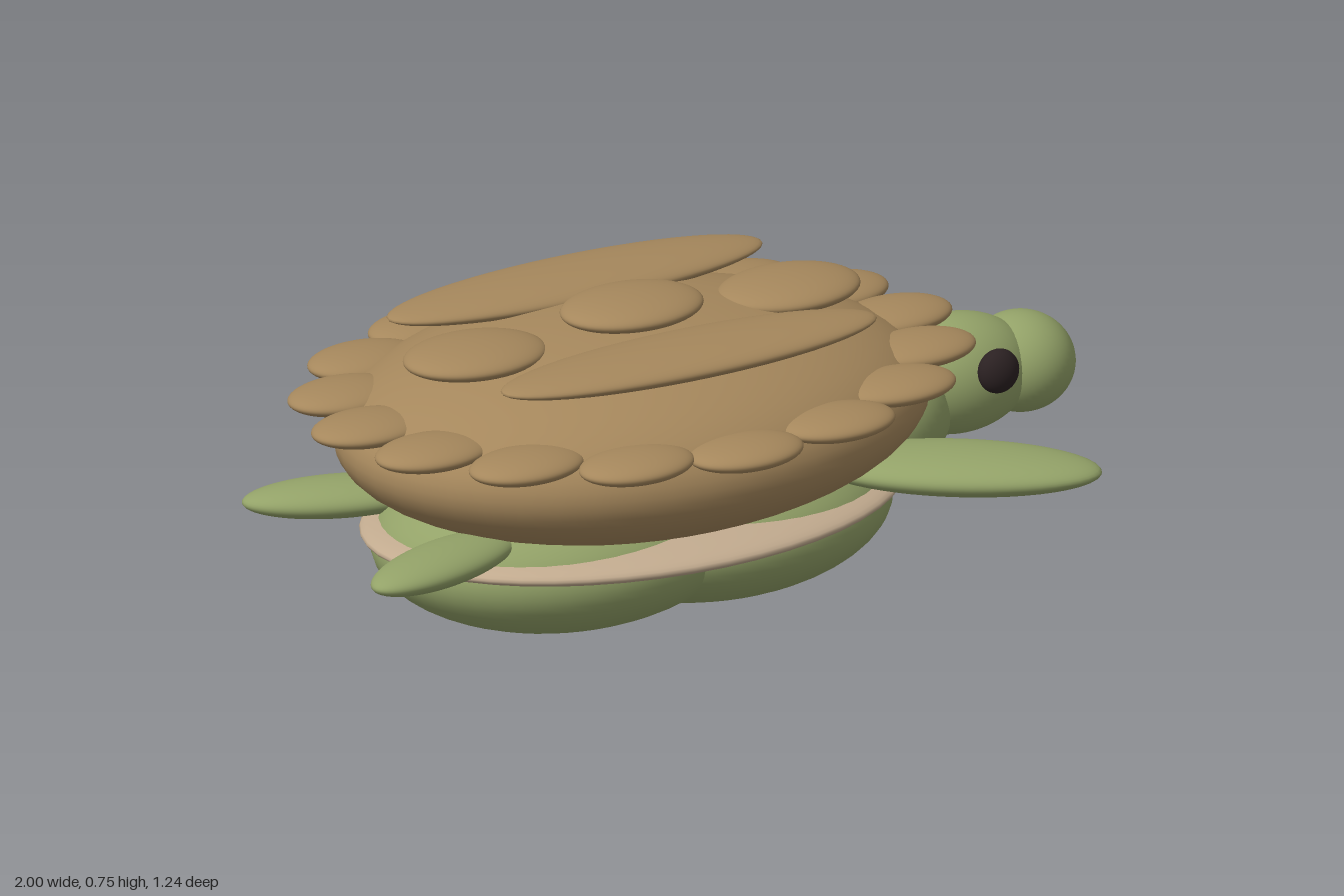
import * as THREE from 'three';

const paint = (name, color) => {
  const m = new THREE.MeshStandardMaterial({ color });
  m.name = name;
  return m;
};

export function createModel() {
  const turtle = new THREE.Group();
  turtle.name = 'turtle';

  const shellBrown = paint('shellBrown', 0xa5875c);
  const skinGreen = paint('skinGreen', 0x93a268);
  const rimTan = paint('rimTan', 0xc2ab8f);
  const eyeBlack = paint('eyeBlack', 0x2b2122);

  const sphere = new THREE.SphereGeometry(1, 48, 32);

  // Every part is a smooth ellipsoid: centre, radii and a turn about y in degrees
  const blob = (name, material, centre, radii, turn = 0) => {
    const mesh = new THREE.Mesh(sphere, material);
    mesh.name = name;
    mesh.position.set(...centre);
    mesh.scale.set(...radii);
    mesh.rotation.y = THREE.MathUtils.degToRad(turn);
    turtle.add(mesh);
  };

  const midX = -0.15;

  // Shell dome, tan rim below it and the two belly lobes
  blob('shell', shellBrown, [midX, 0.46, 0], [0.725, 0.24, 0.537]);
  blob('underRim', rimTan, [midX, 0.237, 0], [0.67, 0.06, 0.45]);
  blob('rearBelly', skinGreen, [-0.34, 0.2, 0], [0.45, 0.2, 0.377]);
  blob('frontBelly', skinGreen, [0.04, 0.2, 0], [0.45, 0.2, 0.377]);

  // Neck, head and snout point along +x
  blob('neck', skinGreen, [0.505, 0.335, 0], [0.165, 0.165, 0.165]);
  blob('head', skinGreen, [0.7, 0.38, 0], [0.19, 0.14, 0.14]);
  blob('snout', skinGreen, [0.873, 0.375, 0], [0.127, 0.117, 0.127]);

  // Paired eyes, flippers and long back plates
  for (const s of [1, -1]) {
    const side = s > 0 ? 'left' : 'right';
    blob(side + 'Eye', eyeBlack, [0.735, 0.425, s * 0.14], [0.051, 0.053, 0.036]);
    blob(side + 'FrontFlipper', skinGreen, [0.5, 0.312, s * 0.365], [0.33, 0.05, 0.13], -35 * s);
    blob(side + 'RearFlipper', skinGreen, [-0.78, 0.29, s * 0.237], [0.23, 0.043, 0.088], 18 * s);
    blob(side + 'LongPlate', shellBrown, [midX, 0.685, s * 0.262], [0.49, 0.036, 0.125]);
  }

  // Oval plates along the spine
  for (const i of [-1, 0, 1]) {
    blob('spinePlate', shellBrown, [midX + i * 0.413, i ? 0.675 : 0.712, 0], [0.175, 0.037, 0.128]);
  }

  // Ring of small plates around the shell
  for (let i = 0; i < 16; i++) {
    const a = (i / 16) * Math.PI * 2;
    const y = 0.538 + 0.015 * Math.abs(Math.cos(a));
    blob('edgePlate', shellBrown,
      [midX + 0.692 * Math.cos(a), y, 0.524 * Math.sin(a)], [0.142, 0.033, 0.096]);
  }

  return turtle;
}
